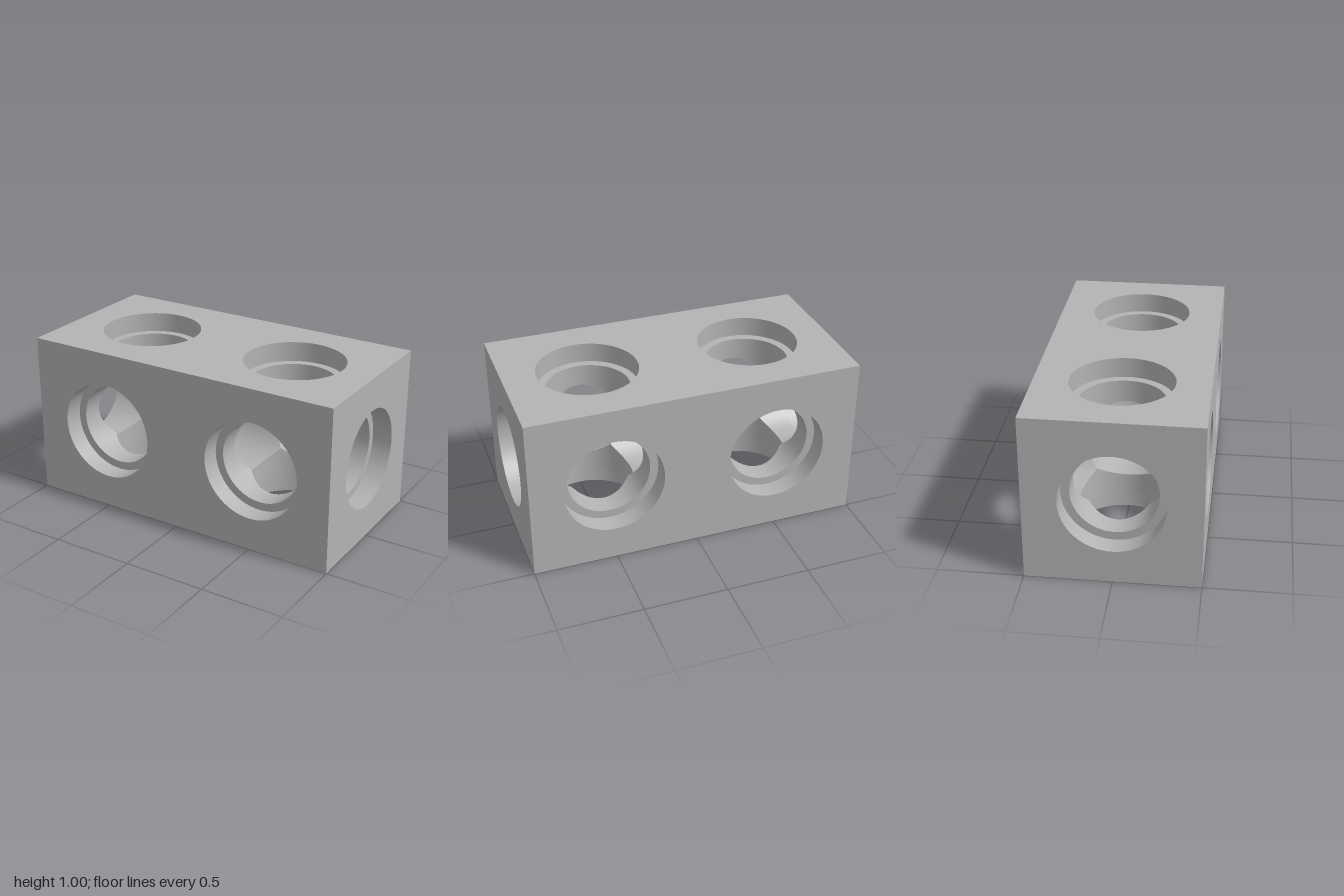
import * as THREE from 'three';

const BORE = 0.25;      // through-hole radius
const RECESS = 0.3;     // counterbore radius
const DEPTH = 0.12;     // counterbore depth
const HALF = 0.5;       // half of one cubic module
const SEGMENTS = 64;    // multiple of 8, so the bores meet exactly on their seams

const grey = new THREE.MeshStandardMaterial({ color: 0xb3b3b3 });
grey.name = 'grey';

// Flat outer wall with a round opening at each given x
function wallGeometry(width, holeCentres) {
  const shape = new THREE.Shape([
    new THREE.Vector2(-width / 2, -HALF),
    new THREE.Vector2(width / 2, -HALF),
    new THREE.Vector2(width / 2, HALF),
    new THREE.Vector2(-width / 2, HALF),
  ]);
  for (const x of holeCentres) {
    shape.holes.push(new THREE.Path().absarc(x, 0, RECESS, 0, Math.PI * 2, true));
  }
  return new THREE.ShapeGeometry(shape, SEGMENTS / 2);
}

// Tube along +z whose surface faces its axis
function innerTube(radius, start, end) {
  const geo = new THREE.CylinderGeometry(radius, radius, end - start, SEGMENTS, 1, true);
  geo.translate(0, (start + end) / 2, 0);
  geo.rotateX(Math.PI / 2);
  geo.scale(-1, 1, 1);
  const n = geo.attributes.normal;
  for (let i = 0; i < n.count; i++) n.setXYZ(i, -n.getX(i), -n.getY(i), -n.getZ(i));
  return geo;
}

// Bore arm whose inner end follows the seam with the two crossing bores
function boreArm(end) {
  const geo = innerTube(BORE, 0, end);
  const p = geo.attributes.position;
  for (let i = 0; i < p.count; i++) {
    if (p.getZ(i) < end / 2) p.setZ(i, Math.max(Math.abs(p.getX(i)), Math.abs(p.getY(i))));
  }
  return geo;
}

export function createModel() {
  const model = new THREE.Group();
  model.name = 'drilledBeam';
  const beam = new THREE.Group();
  beam.name = 'beam';
  beam.position.y = HALF;
  model.add(beam);

  const add = (parent, name, geo) => {
    const mesh = new THREE.Mesh(geo, grey);
    mesh.name = name;
    parent.add(mesh);
    return mesh;
  };

  // Four long walls and two end walls
  const longWall = wallGeometry(2, [-0.5, 0.5]).translate(0, 0, HALF);
  ['frontWall', 'bottomWall', 'backWall', 'topWall'].forEach((name, i) => {
    add(beam, name, longWall).rotation.x = i * Math.PI / 2;
  });
  const endWall = wallGeometry(1, [0]).translate(0, 0, 1);
  add(beam, 'leftEndWall', endWall).rotation.y = Math.PI / 2;
  add(beam, 'rightEndWall', endWall).rotation.y = -Math.PI / 2;

  // Shared hole parts
  const recess = innerTube(RECESS, HALF - DEPTH, HALF);
  const ledge = new THREE.RingGeometry(BORE, RECESS, SEGMENTS).translate(0, 0, HALF - DEPTH);
  const outerArm = boreArm(HALF - DEPTH);
  const middleArm = boreArm(HALF);

  // Each module: five recessed holes, plus a plain bore joining the two modules
  for (const side of [-1, 1]) {
    const directions = {
      front: [0, 0], back: [0, Math.PI],
      top: [-Math.PI / 2, 0], bottom: [Math.PI / 2, 0],
      end: [0, side * Math.PI / 2], middle: [0, -side * Math.PI / 2],
    };
    for (const [name, [rx, ry]] of Object.entries(directions)) {
      const hole = new THREE.Group();
      hole.name = `${name}Hole`;
      hole.position.x = side * HALF;
      hole.rotation.set(rx, ry, 0);
      beam.add(hole);
      if (name === 'middle') {
        add(hole, 'bore', middleArm);
      } else {
        add(hole, 'bore', outerArm);
        add(hole, 'recess', recess);
        add(hole, 'ledge', ledge);
      }
    }
  }
  return model;
}
